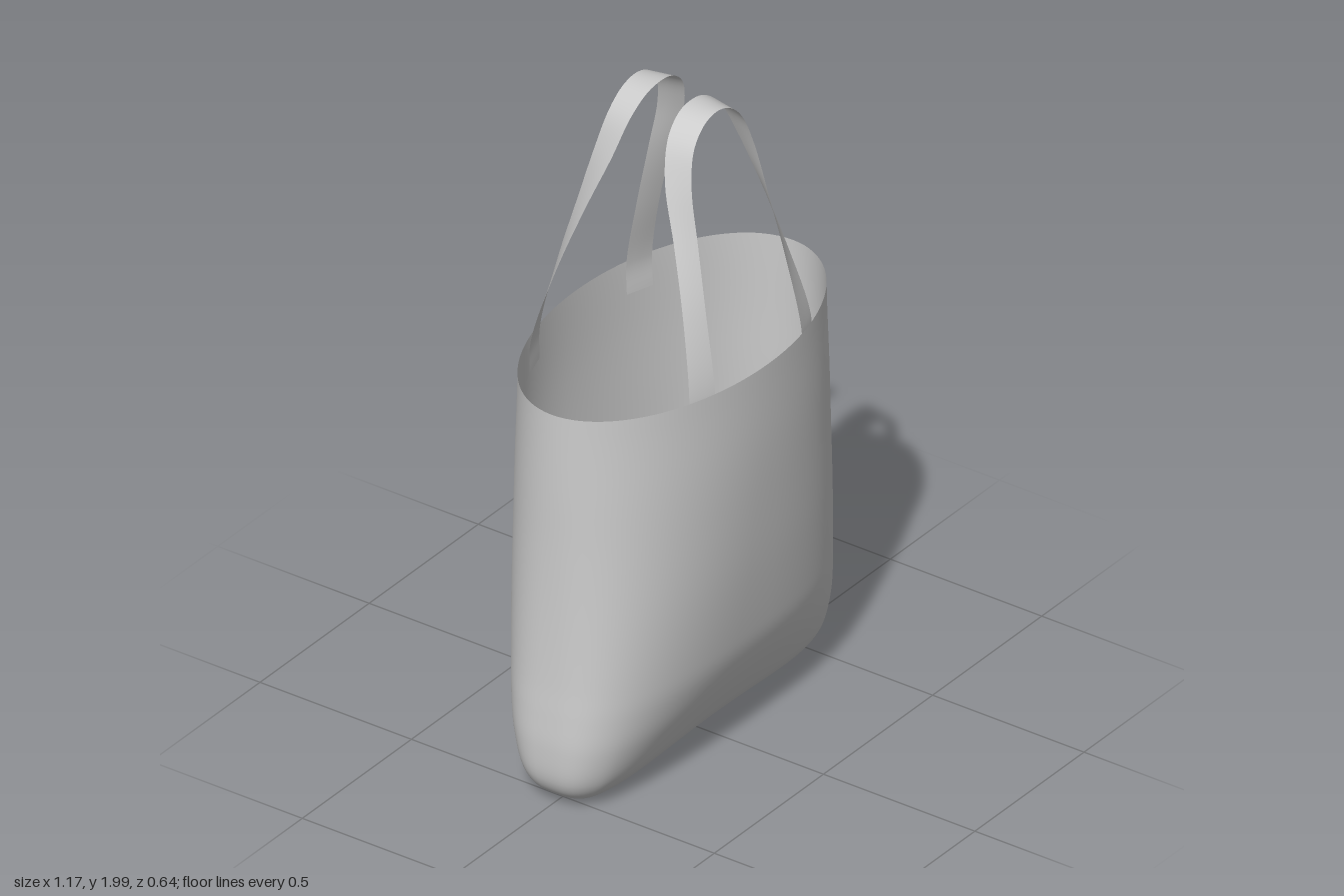
import * as THREE from 'three';

// Surface through rows of points; each row may be a closed ring
function loft(rows, closed, name) {
  const n = rows[0].length, index = [];
  for (let i = 0; i < rows.length - 1; i++) {
    for (let j = 0; j < (closed ? n : n - 1); j++) {
      const k = (j + 1) % n;
      const a = i * n + j, b = i * n + k, c = a + n, d = b + n;
      index.push(a, c, b, b, c, d);
    }
  }
  const g = new THREE.BufferGeometry().setFromPoints(rows.flat());
  g.setIndex(index);
  g.computeVertexNormals();
  const mesh = new THREE.Mesh(g, new THREE.MeshStandardMaterial({ color: 0xcccccc, side: THREE.DoubleSide }));
  mesh.name = name;
  return mesh;
}

// Soft bag body, open at the rim
function makeBody() {
  // half width, height, half depth
  const profile = new THREE.CatmullRomCurve3([
    [0.01, 0, 0.002], [0.25, 0, 0.05], [0.42, 0.006, 0.09], [0.5, 0.022, 0.125],
    [0.547, 0.05, 0.158], [0.575, 0.1, 0.192], [0.584, 0.2, 0.232], [0.579, 0.3, 0.257],
    [0.571, 0.4, 0.274], [0.561, 0.6, 0.297], [0.556, 0.8, 0.311], [0.555, 1, 0.319],
    [0.553, 1.238, 0.319],
  ].map((p) => new THREE.Vector3(...p)));
  const power = (v, e) => Math.sign(v) * Math.abs(v) ** e;
  const rows = [];
  for (let i = 0; i <= 72; i++) {
    const p = profile.getPoint(i / 72);
    // corners get boxier towards the bottom
    const e = 2 / (2 + 1.1 * Math.max(0, 1 - p.y / 1.238) ** 1.5);
    const low = 1 - THREE.MathUtils.smoothstep(p.y, 0, 0.38);
    const row = [];
    for (let j = 0; j < 96; j++) {
      const a = (j / 96) * Math.PI * 2;
      const x = p.x * power(Math.cos(a), e);
      const mid = Math.max(0, 1 - (x / 0.5) ** 2);
      // the middle of the bottom is pulled up and in between the two corners
      const z = p.z * power(Math.sin(a), e) * (1 - 0.14 * mid * low);
      row.push(new THREE.Vector3(x, p.y + 0.025 * mid * low, z));
    }
    rows.push(row);
  }
  return loft(rows, true, 'bagBody');
}

// Flat strap that twists from upright at the rim to level at the top
function makeHandle(side, rise, shift, name) {
  const outer = [[0.283, 1.14, 0.262], [0.278, 1.24, 0.262], [0.24, 1.45, 0.215], [0.2, 1.65, 0.155],
    [0.165, 1.81, 0.1], [0.12, 1.915, 0.076], [0.06, 1.965, 0.067], [0, 1.977, 0.065]];
  const inner = [[0.2, 1.14, 0.289], [0.198, 1.24, 0.289], [0.183, 1.45, 0.25], [0.162, 1.65, 0.207],
    [0.143, 1.81, 0.172], [0.11, 1.905, 0.156], [0.058, 1.955, 0.151], [0, 1.97, 0.15]];
  const edge = (half) => {
    const place = ([x, y, z], s) => {
      const t = THREE.MathUtils.smoothstep(y, 1.24, 1.97);
      return new THREE.Vector3(s * x - 0.006, y + rise * t, side * (z - shift * t));
    };
    const pts = half.map((p) => place(p, 1));
    const mirrored = half.slice(0, -1).reverse().map((p) => place(p, -1));
    return new THREE.CatmullRomCurve3([...pts, ...mirrored]);
  };
  const a = edge(outer), b = edge(inner), rows = [];
  for (let i = 0; i <= 84; i++) {
    const p = a.getPoint(i / 84), q = b.getPoint(i / 84);
    rows.push([0, 1 / 3, 2 / 3, 1].map((t) => p.clone().lerp(q, t)));
  }
  return loft(rows, false, name);
}

export function createModel() {
  const bag = new THREE.Group();
  bag.name = 'toteBag';
  bag.add(
    makeBody(),
    makeHandle(1, 0, 0, 'frontHandle'),
    makeHandle(-1, 0.023, 0.029, 'backHandle'),
  );
  return bag;
}
